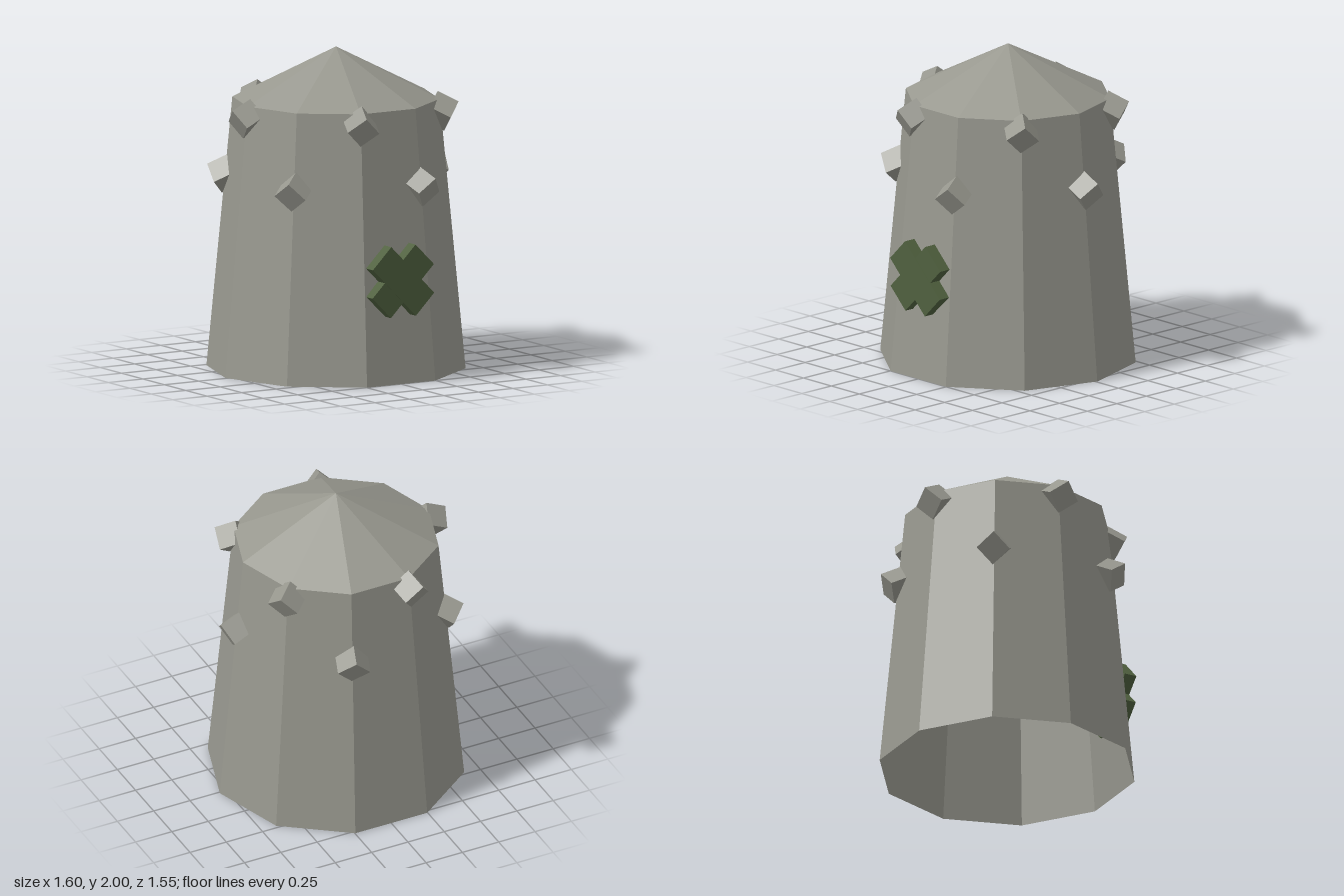
import * as THREE from 'three';

export function createModel() {
  const model = new THREE.Group();
  const stone = new THREE.MeshStandardMaterial({ color: 0x98988f, flatShading: true, side: THREE.DoubleSide });
  stone.name = 'stone grey';
  const green = new THREE.MeshStandardMaterial({ color: 0x50613f, flatShading: true });
  green.name = 'moss green';

  const SIDES = 10, CENTER_Z = -0.01;
  const EAVE = 1.68, R_BOTTOM = 0.8, R_TOP = 0.64;

  const add = (parent, name, geometry, material) => {
    const mesh = new THREE.Mesh(geometry, material);
    mesh.name = name;
    parent.add(mesh);
    return mesh;
  };

  // Tower: tapering ten-sided shell, open underneath, with a low pointed roof
  const tower = new THREE.Group();
  tower.name = 'tower';
  tower.position.z = CENTER_Z;
  model.add(tower);
  add(tower, 'wall', new THREE.CylinderGeometry(R_TOP, R_BOTTOM, EAVE, SIDES, 1, true, Math.PI / 2), stone)
    .position.y = EAVE / 2;
  add(tower, 'roof', new THREE.ConeGeometry(R_TOP, 2 - EAVE, SIDES, 1, true, Math.PI / 2), stone)
    .position.y = (2 + EAVE) / 2;

  // Tilted stone cubes set into the wall corners, alternating between two rows
  const e1 = new THREE.Vector3(0.76, 0.58, 0.28).normalize();
  const e3 = new THREE.Vector3(0.6, -0.71, -0.35);
  const e2 = e3.clone().cross(e1).normalize();
  e3.crossVectors(e1, e2);
  const tilt = new THREE.Matrix4().makeBasis(e1, e2, e3);
  const cube = new THREE.BoxGeometry(0.144, 0.144, 0.144).applyMatrix4(tilt);
  const rows = [
    { name: 'lowerStud', y: 1.2, start: Math.PI / 2 },
    { name: 'upperStud', y: 1.605, start: -Math.PI / 2 },
  ];
  for (const { name, y, start } of rows) {
    const radius = R_BOTTOM + (R_TOP - R_BOTTOM) * (y / EAVE);
    for (let i = 0; i < 5; i++) {
      const angle = start + (i * Math.PI * 2) / 5;
      const stud = add(tower, name, cube, stone);
      stud.position.set(Math.sin(angle) * radius, y, Math.cos(angle) * radius);
      stud.rotation.y = angle;
    }
  }

  // Green crossed bars on the front wall
  const cross = new THREE.Group();
  cross.name = 'cross';
  cross.position.set(0, 0.645, 0.737);
  model.add(cross);
  const bar = new THREE.BoxGeometry(0.188, 0.44, 0.08);
  for (const s of [-1, 1]) {
    const mesh = add(cross, 'crossBar', bar, green);
    mesh.rotation.z = (s * Math.PI) / 4;
    mesh.position.z = s * 0.002;
  }

  return model;
}
